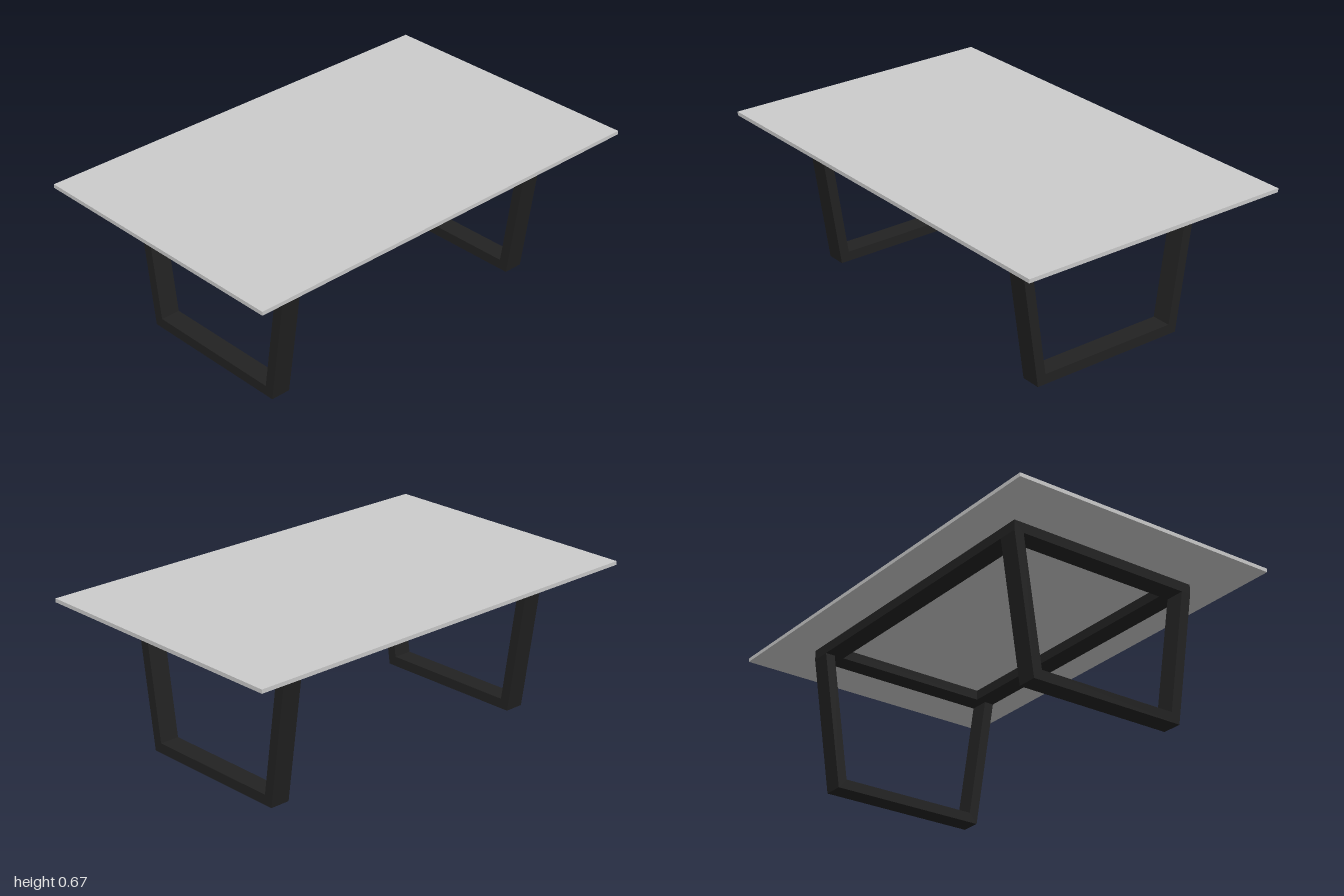
import * as THREE from 'three';

export function createModel() {
  const table = new THREE.Group();
  table.name = 'table';
  const topMaterial = new THREE.MeshStandardMaterial({ color: 0xcccccc });
  const frameMaterial = new THREE.MeshStandardMaterial({ color: 0x222222 });

  const HEIGHT = 0.674, UNDERSIDE = 0.657; // top slab
  const BAR = 0.045, WIDTH = 0.09;         // bar thickness and width
  const INNER_X = 0.638, HALF_Z = 0.455;   // frame extents

  const addPart = (name, geometry, material, x, y, z) => {
    const mesh = new THREE.Mesh(geometry, material);
    mesh.name = name;
    mesh.position.set(x, y, z);
    table.add(mesh);
    return mesh;
  };

  // Thin rectangular top
  addPart('tableTop', new THREE.BoxGeometry(2, HEIGHT - UNDERSIDE, 1.27),
    topMaterial, 0, (HEIGHT + UNDERSIDE) / 2, 0);

  // Tapered leg frame, drawn in the z-y plane and extruded along x
  const kneeY = UNDERSIDE - BAR;
  const points = (list) => list.map(([z, y]) => new THREE.Vector2(z, y));
  const outline = new THREE.Shape(points([
    [-0.365, 0], [0.365, 0], [HALF_Z, kneeY], [HALF_Z, UNDERSIDE],
    [-HALF_Z, UNDERSIDE], [-HALF_Z, kneeY],
  ]));
  outline.holes.push(new THREE.Path(points([
    [-0.327, BAR], [-0.41, kneeY], [0.41, kneeY], [0.327, BAR],
  ])));
  const frameGeometry = new THREE.ExtrudeGeometry(outline, { depth: WIDTH, bevelEnabled: false });
  frameGeometry.translate(0, 0, -WIDTH / 2).rotateY(Math.PI / 2);

  // Matching leg frames and long rails on both sides
  for (const [side, label] of [[1, 'left'], [-1, 'right']]) {
    addPart(label + 'LegFrame', frameGeometry, frameMaterial, side * (INNER_X + WIDTH / 2), 0, 0);
  }
  const railGeometry = new THREE.BoxGeometry(2 * INNER_X, BAR, WIDTH);
  for (const [side, label] of [[1, 'front'], [-1, 'back']]) {
    addPart(label + 'Rail', railGeometry, frameMaterial,
      0, UNDERSIDE - BAR / 2, side * (HALF_Z - WIDTH / 2));
  }
  return table;
}
